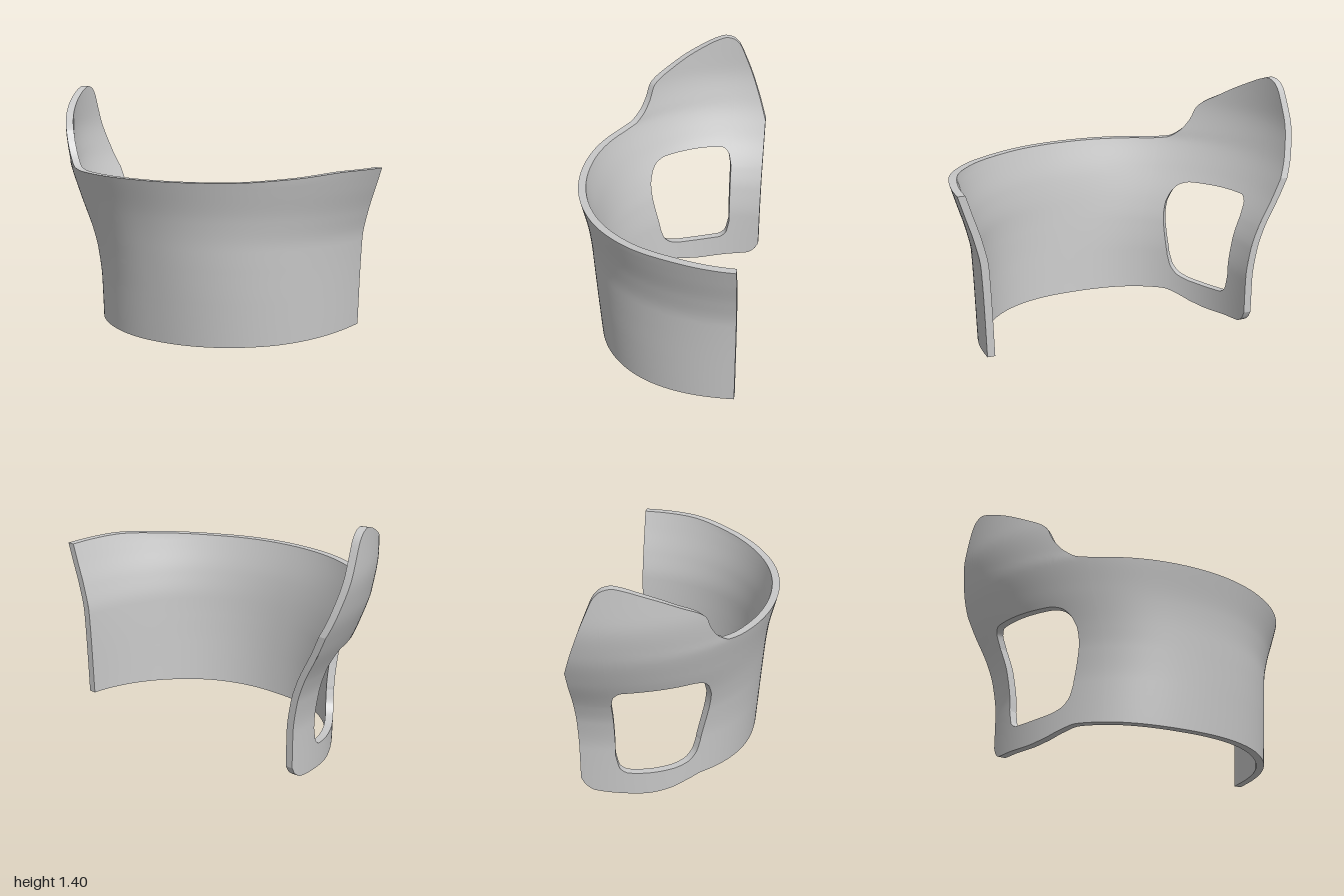
import * as THREE from 'three';
import { mergeGeometries, mergeVertices } from 'three/addons/utils/BufferGeometryUtils.js';

// Smooth curve through [x, y] points that never overshoots them
function curve(...p) {
  const s = p.slice(1).map((q, i) => (q[1] - p[i][1]) / (q[0] - p[i][0]));
  const m = p.map((_, i) => {
    if (i === 0) return s[0];
    if (i === p.length - 1) return s[i - 1];
    const a = s[i - 1], b = s[i];
    return a * b <= 0 ? 0 : (2 * a * b) / (a + b);
  });
  return (x) => {
    if (x <= p[0][0]) return p[0][1];
    if (x >= p[p.length - 1][0]) return p[p.length - 1][1];
    let i = 0;
    while (x > p[i + 1][0]) i++;
    const h = p[i + 1][0] - p[i][0], t = (x - p[i][0]) / h, t2 = t * t, t3 = t2 * t;
    return (2 * t3 - 3 * t2 + 1) * p[i][1] + (t3 - 2 * t2 + t) * h * m[i]
      + (3 * t2 - 2 * t3) * p[i + 1][1] + (t3 - t2) * h * m[i + 1];
  };
}

const BACK = -0.49, THICK = 0.043, HOLE_A = 11.7, HOLE_B = 45;

// Reach of the outer wall by height: wing side, plain side, front
const wingX = curve([0, 0.72], [0.3, 0.724], [0.48, 0.75], [0.6, 0.79], [0.8, 0.89], [1, 0.968], [1.2, 1.003], [1.4, 1]);
const plainX = curve([0, 0.862], [0.1, 0.865], [0.6, 0.885], [0.75, 0.917], [0.9, 0.965], [1.01, 1]);
const frontZ = curve([0, 0.355], [0.6, 0.41], [0.75, 0.432], [0.97, 0.485]);
// Fullness of the half oval by height, and the forward lean of the hole's front edge in degrees
const fullness = curve([0, 0.92], [0.6, 0.935], [1, 0.97]);
const lean = curve([0.3, 0], [0.6, 4], [0.72, 3], [0.88, 0]);

// Outlines by angle in degrees: 0 is the wing's rear edge, 180 the plain rear edge
const bottom = curve([0, 0.1], [1.2, 0.06], [4.2, 0.027], [13, 0.013], [24, 0.003], [32, 0.015], [40, 0.045], [47, 0.066],
  [55, 0.063], [90, 0.047], [135, 0.06], [180, 0.098]);
const top = curve([0, 0.88], [2.2, 1], [7.6, 1.25], [10.6, 1.36], [13, 1.393], [15.5, 1.402], [18.5, 1.39], [24, 1.353],
  [30, 1.308], [37, 1.248], [43, 1.195], [45.3, 1.16], [46.8, 1.09], [50, 1.015], [54.5, 0.972], [62, 0.962], [90, 0.962],
  [120, 0.966], [143, 0.985], [163, 1.008], [180, 1.004]);
const holeBottom = curve([HOLE_A, 0.26], [13.2, 0.175], [16.5, 0.145], [25, 0.138], [33, 0.143], [39.5, 0.165], [43.3, 0.215], [HOLE_B, 0.29]);
const holeTop = curve([HOLE_A, 0.62], [13, 0.695], [16, 0.728], [25, 0.732], [39, 0.727], [42.5, 0.71], [44.3, 0.67], [HOLE_B, 0.6]);

// Point on the shell; depth 0 is the outer skin and 1 the inner skin
function point(deg, y, depth) {
  const a = THREE.MathUtils.degToRad(deg + lean(y) * Math.max(0, 1 - Math.abs(deg - HOLE_B) / 14));
  const d = depth * THICK, l = wingX(y), r = plainX(y), p = fullness(y);
  const c = Math.cos(a), s = Math.max(0, Math.sin(a));
  return [
    (r - l) / 2 - ((l + r) / 2 - d) * Math.sign(c) * Math.abs(c) ** p,
    y,
    BACK + (frontZ(y) - BACK - d) * s ** p,
  ];
}

// Sheet of quads over parameter lists us and vs
function sheet(us, vs, fn, flip) {
  const pos = [], idx = [], n = vs.length;
  for (const u of us) for (const v of vs) pos.push(...fn(u, v));
  for (let i = 0; i < us.length - 1; i++) {
    for (let j = 0; j < n - 1; j++) {
      const a = i * n + j, b = a + n, c = b + 1, d = a + 1;
      idx.push(...(flip ? [a, c, b, a, d, c] : [a, b, c, a, c, d]));
    }
  }
  const g = new THREE.BufferGeometry();
  g.setAttribute('position', new THREE.Float32BufferAttribute(pos, 3));
  g.setIndex(idx);
  return g;
}

const steps = (a, b, n) => Array.from({ length: n + 1 }, (_, i) => a + ((b - a) * i) / n);

function finish(parts) {
  const g = mergeVertices(mergeGeometries(parts), 1e-5);
  g.computeVertexNormals();
  return g;
}

export function createModel() {
  const group = new THREE.Group();
  group.name = 'curvedShell';
  const grey = new THREE.MeshStandardMaterial({ color: 0xc8c8c8 });
  grey.name = 'lightGrey';
  const add = (name, ...parts) => {
    const mesh = new THREE.Mesh(finish(parts), grey);
    mesh.name = name;
    group.add(mesh);
  };

  // Columns: rear of the wing, hole span (denser at its rounded ends), rest of the wall
  const rear = steps(0, HOLE_A, 24);
  const hole = steps(0, 1, 44).map((t) => HOLE_A + (HOLE_B - HOLE_A) * (1 - Math.cos(Math.PI * t)) / 2);
  const rest = [...steps(HOLE_B, 58, 20), ...steps(58, 180, 61).slice(1)];
  const all = [...rear, ...hole.slice(1), ...rest.slice(1)];

  // Skins in three bands, the middle one left open at the hole
  const band = (cols, lo, hi, rows, depth) => sheet(cols, steps(0, 1, rows),
    (u, t) => point(u, lo(u) + (hi(u) - lo(u)) * t, depth), depth === 1);
  ['outerSkin', 'innerSkin'].forEach((name, depth) => add(name,
    band(all, bottom, holeBottom, 6, depth),
    band(rear, holeBottom, holeTop, 24, depth),
    band(rest, holeBottom, holeTop, 24, depth),
    band(all, holeTop, top, 18, depth)));

  // Narrow faces across the thickness
  const rim = (cols, height, flip) => sheet(cols, [0, 1], (u, d) => point(u, height(u), d), flip);
  const side = (deg, lo, hi, flip) => sheet(steps(lo(deg), hi(deg), 24), [0, 1], (y, d) => point(deg, y, d), flip);
  add('topRim', rim(all, top, false));
  add('bottomRim', rim(all, bottom, true));
  add('wingRearEdge', side(0, bottom, top, false));
  add('plainRearEdge', side(180, bottom, top, true));
  add('holeRim',
    rim(hole, holeBottom, false),
    rim(hole, holeTop, true),
    side(HOLE_A, holeBottom, holeTop, true),
    side(HOLE_B, holeBottom, holeTop, false));
  return group;
}
